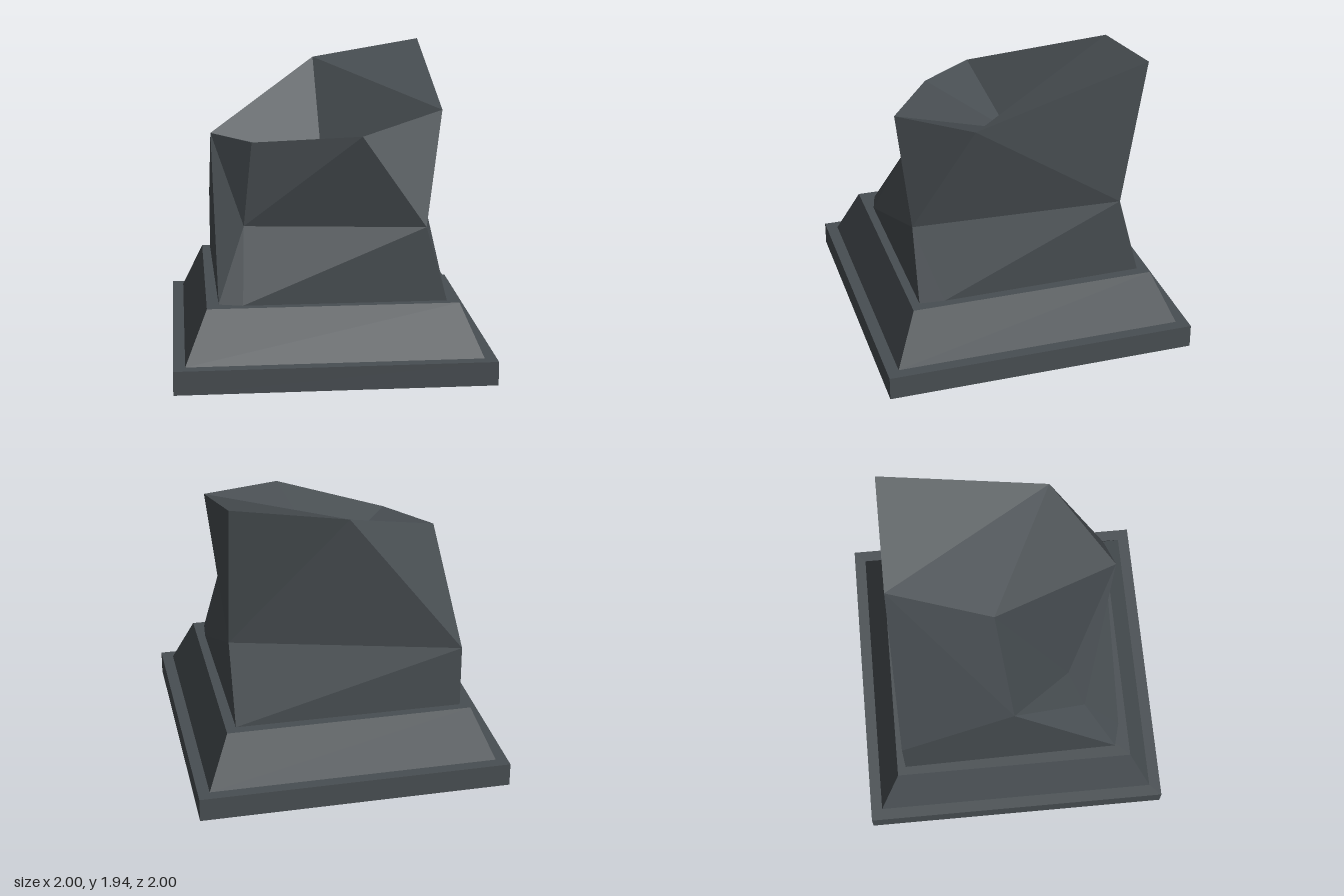
import * as THREE from 'three';

const stone = new THREE.MeshStandardMaterial({ color: 0x484e52, flatShading: true, side: THREE.DoubleSide });
stone.name = 'dark stone';

// Flat-faced mesh from named points and triangles written as point names
function faceted(name, points, faces) {
  const pos = faces.flatMap((f) => [...f].flatMap((k) => points[k]));
  const geo = new THREE.BufferGeometry();
  geo.setAttribute('position', new THREE.Float32BufferAttribute(pos, 3));
  geo.computeVertexNormals();
  const mesh = new THREE.Mesh(geo, stone);
  mesh.name = name;
  return mesh;
}

// Square tier, open below, with a flat top
function tier(name, y0, half0, y1, half1) {
  const ring = (keys, y, h) =>
    [[-h, h], [h, h], [h, -h], [-h, -h]].map(([x, z], i) => [keys[i], [x, y, z]]);
  const points = Object.fromEntries([...ring('abcd', y0, half0), ...ring('ABCD', y1, half1)]);
  const faces = ['ABC', 'ACD'];
  for (let i = 0; i < 4; i++) {
    const p = 'abcd'[i], q = 'abcd'[(i + 1) % 4];
    faces.push(p + q + q.toUpperCase(), p + q.toUpperCase() + p.toUpperCase());
  }
  return faceted(name, points, faces);
}

export function createModel() {
  const model = new THREE.Group();
  model.name = 'brokenPillar';

  // Stepped base
  model.add(tier('baseSlab', 0, 1, 0.152, 1));
  model.add(tier('slopedPlinth', 0.152, 0.925, 0.475, 0.785));

  // Broken shaft: rim, waist and foot points
  const foot = 0.475;
  const points = {
    A: [-0.73, 1.43, 0], B: [0, 1.82, -0.73], C: [0.73, 1.94, -0.73],
    D: [0.73, 1.62, 0.36], E: [0.18, 1.525, 0.73], F: [-0.48, 1.43, 0.36],
    I: [0, 1.24, -0.06],
    G: [-0.54, 0.92, 0.48], H: [0.58, 0.95, 0.73],
    J: [0.73, 1.0, -0.58], K: [-0.73, 0.88, -0.73],
    L: [0.72, foot, -0.72], M: [0.715, foot, 0.73], N: [0.73, foot, 0.57],
    P: [-0.56, foot, 0.73], Q: [-0.71, foot, 0.69], R: [-0.73, foot, -0.73],
  };
  const faces = [
    'GHE', 'GEF', 'GFA', 'PHG', 'QPG', 'PMH', 'HDE', // front
    'HJD', 'JCD', 'NJH', 'MNH', 'NLJ', // +x side
    'JKB', 'JBC', 'LKJ', 'LRK', // back
    'RAK', 'KAB', 'RQA', 'QGA', // -x side
    'AFI', 'IFE', 'IED', 'IDB', 'AIB', 'BDC', // broken top
  ];
  model.add(faceted('brokenShaft', points, faces));
  return model;
}
